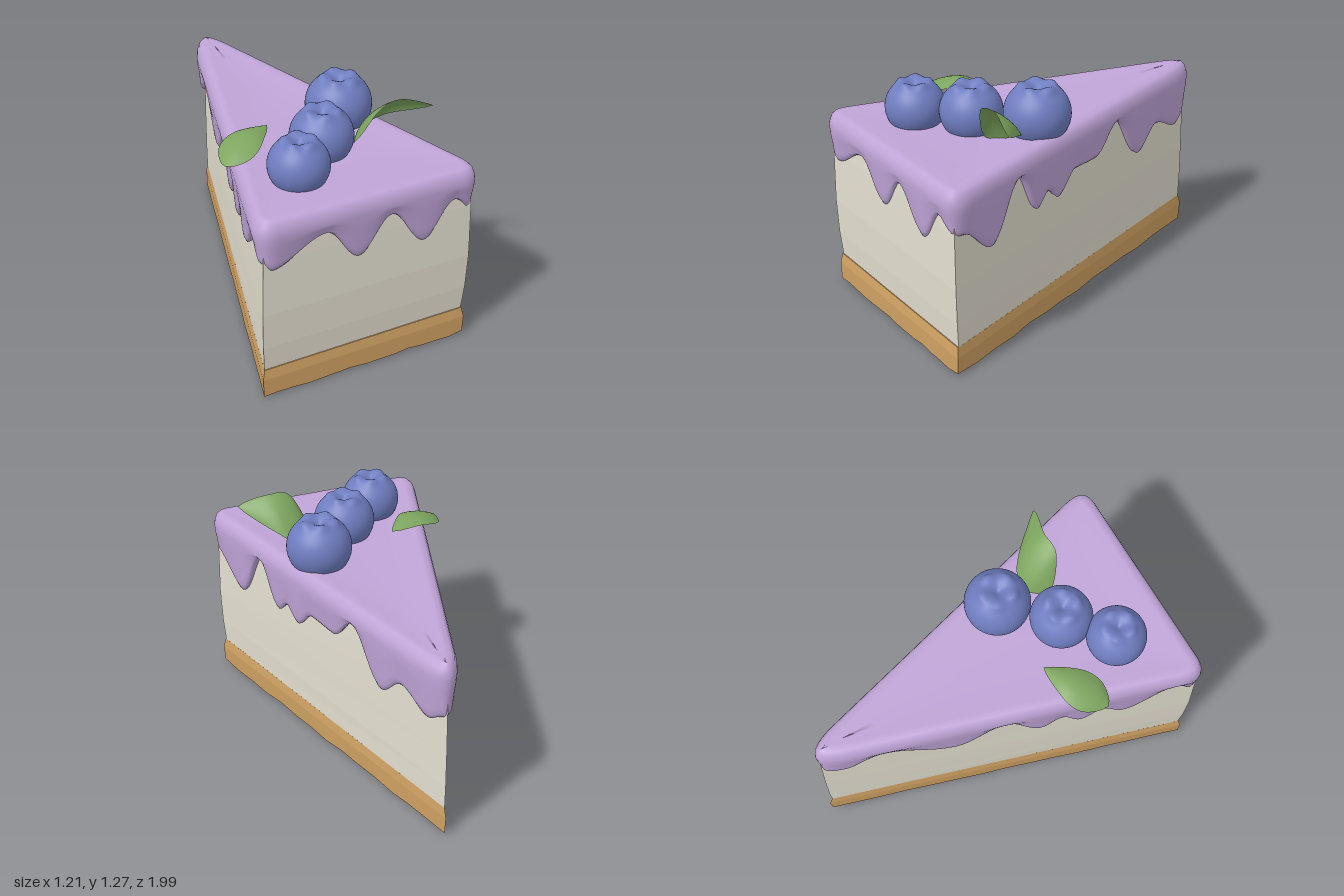
import * as THREE from 'three';
import { mergeVertices } from 'three/addons/utils/BufferGeometryUtils.js';

const mat = (color, opts = {}) => new THREE.MeshStandardMaterial({ color, ...opts });

// Skin a list of closed rings (top to bottom, each an array of [x, y, z])
function loft(rings) {
  const n = rings[0].length, index = [];
  for (let r = 0; r < rings.length - 1; r++) {
    for (let i = 0; i < n; i++) {
      const j = (i + 1) % n, a = r * n + i, b = r * n + j;
      index.push(a, a + n, b, b, a + n, b + n);
    }
  }
  const g = new THREE.BufferGeometry();
  g.setAttribute('position', new THREE.Float32BufferAttribute(rings.flat(2), 3));
  g.setIndex(index);
  g.computeVertexNormals();
  return g;
}

// Triangular wedge ring: half width w, front z, tip z, split along each edge
function wedge(w, front, tip, y, split, wobble = 0) {
  const c = [[-w, front], [w, front], [0, tip]], ring = [];
  c.forEach((p, k) => {
    const q = c[(k + 1) % 3];
    for (let i = 0; i < split; i++) {
      const t = i / split;
      const lift = wobble * (0.5 + 0.5 * Math.sin(i * 2.3 + k * 1.7) * Math.cos(i * 0.9));
      ring.push([p[0] + (q[0] - p[0]) * t, y + lift, p[1] + (q[1] - p[1]) * t]);
    }
  });
  return ring;
}
const centre = (n, y, z) => Array.from({ length: n }, () => [0, y, z]);

// Eased lookup in a table of [position, height]
function lookup(table, v) {
  if (v <= table[0][0]) return table[0][1];
  for (let i = 1; i < table.length; i++) {
    const [x0, y0] = table[i - 1], [x1, y1] = table[i];
    if (v <= x1) return y0 + (y1 - y0) * (0.5 - 0.5 * Math.cos(Math.PI * (v - x0) / (x1 - x0)));
  }
  return table[table.length - 1][1];
}

// Height of the icing's lower edge along the three sides
const dripFront = [[-0.6, 0.79], [-0.54, 0.76], [-0.25, 0.89], [-0.06, 0.7], [0.11, 0.89],
  [0.31, 0.68], [0.47, 0.87], [0.6, 0.79]];
const dripRight = [[-0.98, 0.72], [-0.89, 0.68], [-0.69, 0.76], [-0.53, 0.645], [-0.31, 0.92],
  [-0.14, 0.775], [0.04, 0.785], [0.17, 0.68], [0.26, 0.75], [0.34, 0.685], [0.49, 0.93],
  [0.69, 0.635], [0.9, 0.79]];
const dripLeft = [[-0.98, 0.72], [-0.9, 0.75], [-0.68, 0.88], [-0.31, 0.71], [-0.05, 0.9],
  [0.13, 0.7], [0.24, 0.8], [0.34, 0.69], [0.45, 0.79], [0.56, 0.69], [0.83, 0.9], [0.93, 0.79]];

function icingGeometry() {
  const s = new THREE.Shape();
  s.moveTo(0, 0.99);
  s.lineTo(0.5, 0.99);
  s.quadraticCurveTo(0.65, 0.995, 0.59, 0.82);
  s.lineTo(0.1, -0.85);
  s.quadraticCurveTo(0.055, -0.99, 0, -0.99);
  s.quadraticCurveTo(-0.055, -0.99, -0.1, -0.85);
  s.lineTo(-0.59, 0.82);
  s.quadraticCurveTo(-0.65, 0.995, -0.5, 0.99);
  s.lineTo(0, 0.99);
  const pts = s.getSpacedPoints(300).slice(0, -1), n = pts.length;
  const info = pts.map((p, i) => {
    const t = pts[(i + 1) % n].clone().sub(pts[(i + n - 1) % n]).normalize();
    const drip = p.y > 0.92 ? lookup(dripFront, p.x) : lookup(p.x > 0 ? dripRight : dripLeft, p.y);
    return { p, nx: -t.y, nz: t.x, drip };
  });
  const ring = (inset, height) => info.map(({ p, nx, nz, drip }) =>
    [p.x - nx * inset, height(drip), p.y - nz * inset]);
  const scaled = (k, y) => info.map(({ p }) => [p.x * k, y, 0.35 + (p.y - 0.35) * k]);
  return loft([
    centre(n, 1.02, 0.35), scaled(0.4, 1.02), scaled(0.75, 1.025),
    ring(0.07, () => 1.035), ring(0.035, () => 1.03), ring(0.015, () => 1.01),
    ring(0.004, () => 0.98), ring(0, () => 0.95),
    // side skin running down into the drips
    ...[[0.25, 0.003], [0.5, 0.01], [0.75, 0.014], [0.9, 0.018]].map(([k, inset]) =>
      ring(inset, d => 0.95 + (d - 0.95) * k)),
    ring(0.03, d => d), ring(0.05, d => d + 0.005), ring(0.09, d => d + 0.05),
  ]);
}

// Round berry with a dented, five-pointed crown on top
function berryGeometry() {
  const g = new THREE.SphereGeometry(1, 50, 40);
  const p = g.attributes.position, v = new THREE.Vector3();
  for (let i = 0; i < p.count; i++) {
    v.fromBufferAttribute(p, i);
    const t = Math.acos(THREE.MathUtils.clamp(v.y, -1, 1)), a = Math.atan2(v.z, v.x);
    const rim = 0.1 * Math.exp(-(((t - 0.5) / 0.15) ** 2)) * (0.55 + 0.45 * Math.cos(5 * a));
    const dent = 0.3 * Math.exp(-((t / 0.28) ** 2));
    const stem = 0.08 * Math.exp(-(((Math.PI - t) / 0.2) ** 2));
    v.multiplyScalar(1 + rim - dent - stem);
    p.setXYZ(i, v.x, v.y * 0.97, v.z);
  }
  g.deleteAttribute('uv');
  g.deleteAttribute('normal');
  const m = mergeVertices(g, 1e-4);
  m.computeVertexNormals();
  return m;
}

// Curved leaf along a path, widened along "side" and folded along the midrib
function leafGeometry(path, side, halfWidth, fold) {
  const curve = new THREE.CatmullRomCurve3(path.map(q => new THREE.Vector3(...q)));
  const across = new THREE.Vector3(...side).normalize();
  const g = new THREE.PlaneGeometry(1, 1, 8, 24), p = g.attributes.position;
  for (let i = 0; i < p.count; i++) {
    const u = p.getX(i) * 2, t = p.getY(i) + 0.5;
    const c = curve.getPoint(t), up = across.clone().cross(curve.getTangent(t)).normalize();
    const w = halfWidth * Math.sin(Math.PI * Math.pow(t, 0.85)) ** 0.8 || 0;
    c.addScaledVector(across, u * w).addScaledVector(up, fold * u * u * w / halfWidth);
    p.setXYZ(i, c.x, c.y, c.z);
  }
  g.computeVertexNormals();
  return g;
}

export function createModel() {
  const group = new THREE.Group();
  const add = (name, geometry, material) => {
    const mesh = new THREE.Mesh(geometry, material);
    mesh.name = name;
    group.add(mesh);
    return mesh;
  };

  // Biscuit crust with an uneven underside
  const k = 14;
  add('crust', loft([
    centre(3 * k, 0.165, 0.3), wedge(0.575, 0.95, -0.98, 0.165, k), wedge(0.587, 0.96, -1, 0.11, k),
    wedge(0.583, 0.96, -0.99, 0, k, 0.018), centre(3 * k, 0.012, 0.3),
  ]), mat(0xcfa163, { flatShading: true }));

  // Creamy filling, bulging slightly at mid height
  add('filling', loft([
    centre(3, 1, 0.3), wedge(0.57, 0.945, -0.96, 1, 1), wedge(0.582, 0.955, -0.98, 0.8, 1),
    wedge(0.588, 0.96, -0.985, 0.5, 1), wedge(0.583, 0.955, -0.985, 0.3, 1),
    wedge(0.573, 0.945, -0.98, 0.16, 1), centre(3, 0.16, 0.3),
  ]), mat(0xe4dfd0, { flatShading: true }));

  // Dripping icing
  add('icing', icingGeometry(), mat(0xc0a5d8, { side: THREE.DoubleSide }));

  // Berries: x, y, z, radius
  const berry = berryGeometry(), berryMat = mat(0x6f7dc0);
  [[-0.235, 1.1, 0.65, 0.157], [-0.005, 1.105, 0.457, 0.165], [0.228, 1.112, 0.21, 0.175]]
    .forEach(([x, y, z, r], i) => {
      const m = add('berry' + (i + 1), berry, berryMat);
      m.position.set(x, y, z);
      m.scale.setScalar(r);
      m.rotation.y = i * 0.7;
    });

  // Leaves
  const leafMat = mat(0x7da55f, { side: THREE.DoubleSide });
  add('leftLeaf', leafGeometry([[-0.53, 1.05, 0.43], [-0.45, 1.1, 0.375], [-0.34, 1.13, 0.31],
    [-0.2, 1.1, 0.235]], [0.48, 0, 0.87], 0.105, -0.03), leafMat);
  add('rightLeaf', leafGeometry([[0.165, 1.03, 0.49], [0.25, 1.15, 0.47], [0.37, 1.195, 0.48],
    [0.55, 1.21, 0.61]], [0, 0.72, 0.69], 0.145, -0.02), leafMat);

  return group;
}
